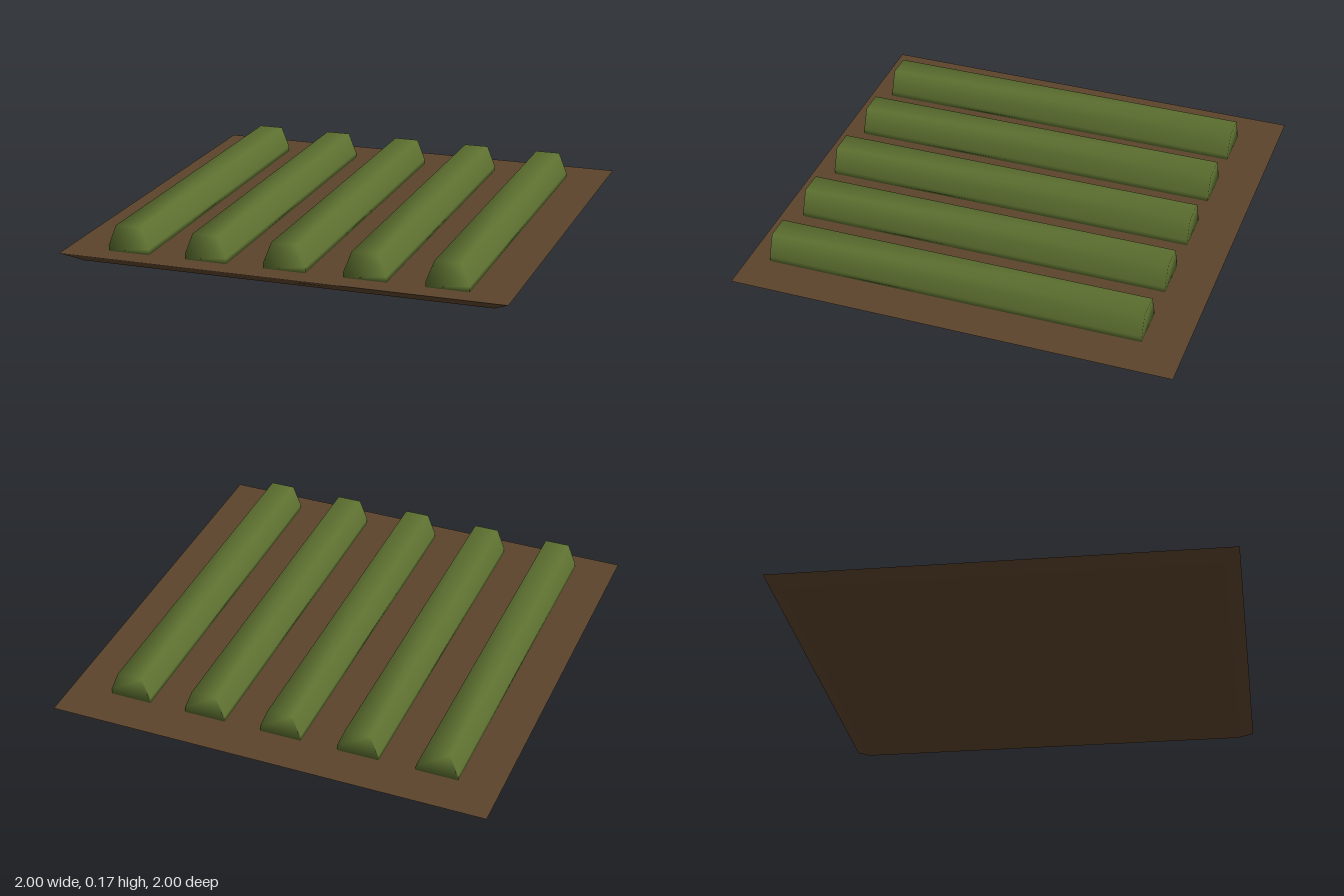
import * as THREE from 'three';
import { mergeVertices, toCreasedNormals } from 'three/addons/utils/BufferGeometryUtils.js';

// Welded copy, so normals run smoothly across every edge
function smooth(geometry) {
  geometry.deleteAttribute('normal');
  geometry.deleteAttribute('uv');
  const welded = mergeVertices(geometry, 1e-4);
  welded.computeVertexNormals();
  return welded;
}

export function createModel() {
  const group = new THREE.Group();
  const soil = new THREE.MeshStandardMaterial({ color: 0x5c432b });
  const leaf = new THREE.MeshStandardMaterial({ color: 0x5d7030 });

  // Square soil slab, tapering inward toward its underside
  const height = 0.05;
  const slab = new THREE.CylinderGeometry(Math.SQRT2, 0.92 * Math.SQRT2, height, 4);
  slab.rotateY(Math.PI / 4);
  slab.translate(0, height / 2, 0);
  slab.deleteAttribute('uv');
  const bed = new THREE.Mesh(toCreasedNormals(slab, Math.PI / 3), soil);
  bed.name = 'soilBed';
  group.add(bed);

  // Crop row: short upright sides, sloped shoulders and a flat top
  const section = new THREE.Shape(
    [[-0.095, 0.05], [0.095, 0.05], [0.095, 0.075], [0.057, 0.17], [-0.057, 0.17], [-0.095, 0.075]]
      .map(([x, y]) => new THREE.Vector2(x, y))
  );
  const rowGeometry = smooth(new THREE.ExtrudeGeometry(section, { depth: 1.71, bevelEnabled: false }));

  // Five evenly spaced rows, set slightly toward the front
  for (let i = 0; i < 5; i++) {
    const row = new THREE.Mesh(rowGeometry, leaf);
    row.name = `cropRow${i + 1}`;
    row.position.set((i - 2) * 0.358, 0, -0.81);
    group.add(row);
  }
  return group;
}
